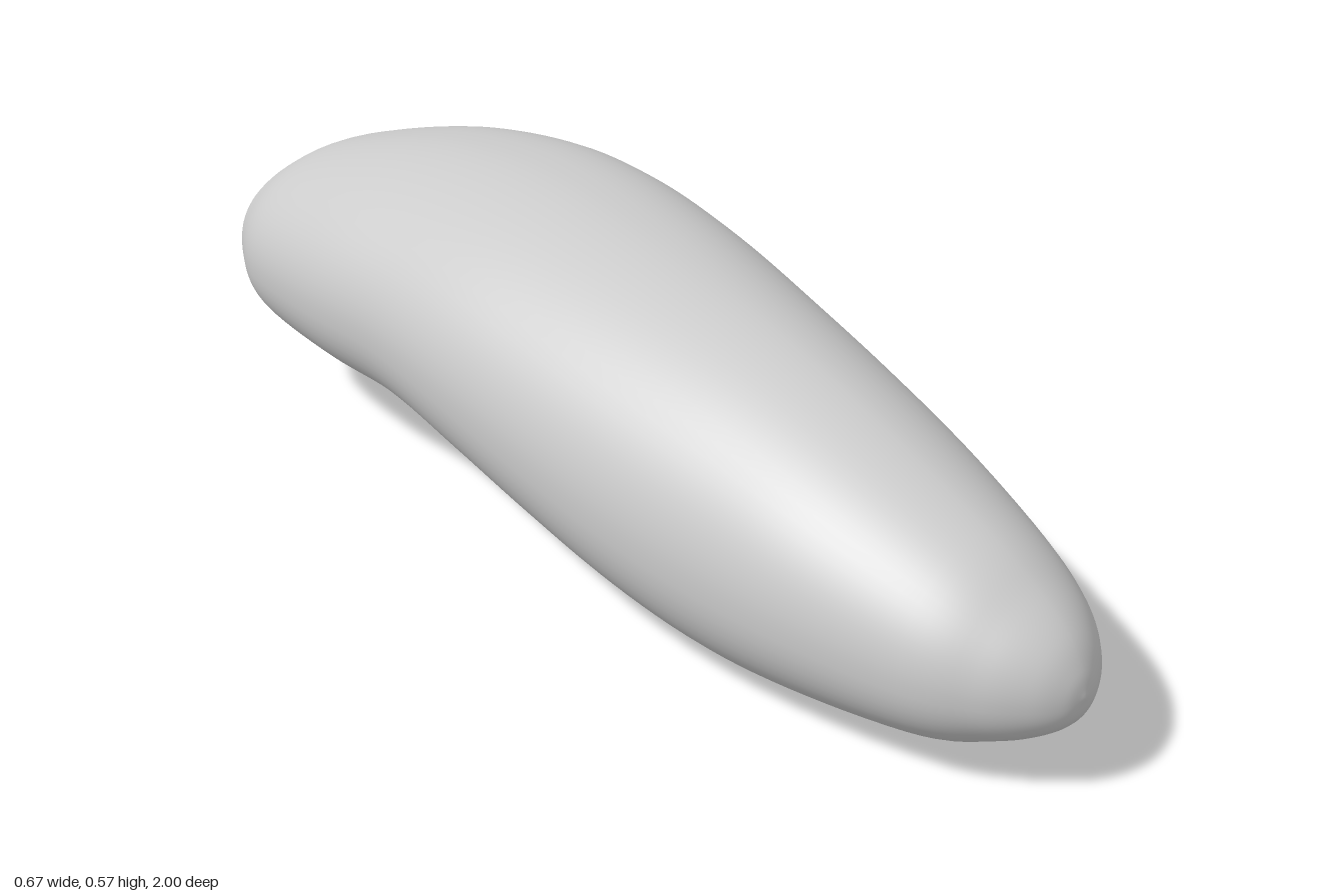
import * as THREE from 'three';
import { mergeVertices } from 'three/addons/utils/BufferGeometryUtils.js';

// Cross-section bounds along the length: z, xMin, xMax, yMin, yMax
const STATIONS = [
  [-1, -0.01, -0.01, 0.285, 0.285],
  [-0.99, -0.05, 0.035, 0.25, 0.325],
  [-0.96, -0.09, 0.09, 0.22, 0.375],
  [-0.9, -0.14, 0.16, 0.185, 0.43],
  [-0.8, -0.195, 0.23, 0.155, 0.485],
  [-0.6, -0.24, 0.307, 0.135, 0.542],
  [-0.4, -0.265, 0.335, 0.13, 0.568],
  [-0.2, -0.297, 0.327, 0.1, 0.573],
  [0, -0.32, 0.302, 0.06, 0.558],
  [0.2, -0.334, 0.263, 0.022, 0.532],
  [0.4, -0.336, 0.215, 0.003, 0.497],
  [0.6, -0.328, 0.155, 0.018, 0.444],
  [0.8, -0.292, 0.083, 0.043, 0.37],
  [0.9, -0.245, 0.035, 0.075, 0.31],
  [0.96, -0.195, -0.02, 0.105, 0.262],
  [0.99, -0.15, -0.07, 0.135, 0.215],
  [1, -0.11, -0.11, 0.175, 0.175],
];

const spline = (a, b) => new THREE.CatmullRomCurve3(
  STATIONS.map((s) => new THREE.Vector3(s[a], s[b], s[0])), false, 'catmullrom', 0.5);

// Rounded section: each quadrant has its own squareness
function sectionPoint(angle, z, xs, ys) {
  const c = Math.cos(angle), s = Math.sin(angle);
  const rear = THREE.MathUtils.smoothstep(-z, -0.5, 0.4);
  let n = 2;
  if (c > 0 && s > 0) n = 1.85 + 0.5 * rear;
  else if (c < 0 && s < 0) n = 2.3;
  const ux = Math.sign(c) * Math.abs(c) ** (2 / n);
  const uy = Math.sign(s) * Math.abs(s) ** (2 / n);
  const halfW = (xs.y - xs.x) / 2, height = ys.y - ys.x;
  const widest = ys.x + height * 0.46;
  const lean = s > 0 ? 0.1 * rear * halfW * s * s * (1 - c * c) : 0;
  return [
    (xs.x + xs.y) / 2 + halfW * ux + lean,
    widest + uy * (s > 0 ? ys.y - widest : widest - ys.x),
    z,
  ];
}

export function createModel() {
  const group = new THREE.Group();
  const rings = 96, sides = 64;
  const widths = spline(1, 2), heights = spline(3, 4);
  const positions = [], indices = [];

  // Loft the sections from the back tip to the front tip
  for (let i = 0; i <= rings; i++) {
    const xs = widths.getPoint(i / rings), ys = heights.getPoint(i / rings);
    for (let j = 0; j < sides; j++) {
      positions.push(...sectionPoint((j / sides) * Math.PI * 2, xs.z, xs, ys));
    }
  }
  for (let i = 0; i < rings; i++) {
    for (let j = 0; j < sides; j++) {
      const k = (j + 1) % sides;
      const a = i * sides + j, b = i * sides + k;
      const c = a + sides, d = b + sides;
      if (i > 0) indices.push(a, b, d);
      if (i < rings - 1) indices.push(a, d, c);
      else indices.push(a, b, c);
    }
  }

  let geometry = new THREE.BufferGeometry();
  geometry.setAttribute('position', new THREE.Float32BufferAttribute(positions, 3));
  geometry.setIndex(indices);
  geometry = mergeVertices(geometry, 1e-5);
  geometry.computeVertexNormals();

  // Smooth elongated pebble
  const pebble = new THREE.Mesh(geometry, new THREE.MeshStandardMaterial({ color: 0xcccccc }));
  pebble.name = 'pebble';
  group.add(pebble);
  return group;
}
